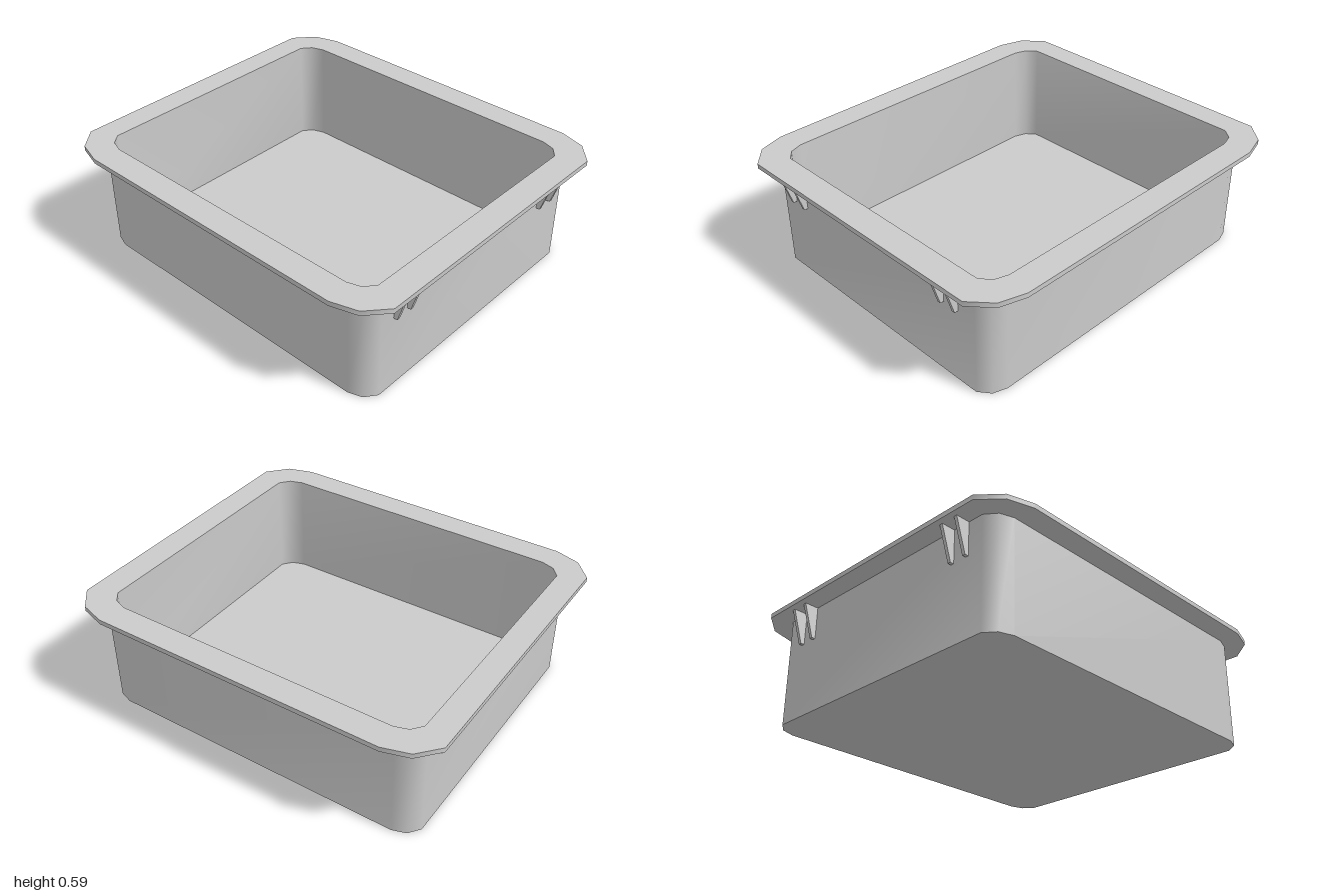
import * as THREE from 'three';
import { toCreasedNormals } from 'three/addons/utils/BufferGeometryUtils.js';

// Rectangle outline with two-facet corners, counterclockwise seen from above.
// Corner points are given for one quadrant as [x, z] and mirrored to the rest.
function outline(corner, y, dz = 0) {
  const reversed = [...corner].reverse();
  const points = [];
  const add = (list, sx, sz) => list.forEach(([x, z]) =>
    points.push(new THREE.Vector3(sx * x, y, sz * z + dz)));
  add(corner, 1, -1);
  add(reversed, -1, -1);
  add(corner, -1, 1);
  add(reversed, 1, 1);
  return points;
}

// Skin a stack of outlines and close both ends
function loft(rings) {
  const pos = [];
  const tri = (...vs) => vs.forEach(v => pos.push(v.x, v.y, v.z));
  const n = rings[0].length;
  for (let i = 0; i < rings.length - 1; i++) {
    const a = rings[i], b = rings[i + 1];
    for (let j = 0; j < n; j++) {
      const k = (j + 1) % n;
      tri(a[j], a[k], b[k]);
      tri(a[j], b[k], b[j]);
    }
  }
  const first = rings[0], last = rings[rings.length - 1];
  for (let j = 1; j < n - 1; j++) {
    tri(first[0], first[j + 1], first[j]);
    tri(last[0], last[j], last[j + 1]);
  }
  const geometry = new THREE.BufferGeometry();
  geometry.setAttribute('position', new THREE.Float32BufferAttribute(pos, 3));
  return toCreasedNormals(geometry, 0.9);
}

export function createModel() {
  const group = new THREE.Group();
  const material = new THREE.MeshStandardMaterial({ color: 0xcccccc });

  const floorY = 0.03, rimBottom = 0.565, rimTop = 0.59;
  const wall = [[0.765, 0.785], [0.742, 0.855], [0.685, 0.898]];
  const rim = [[0.875, 0.775], [0.835, 0.908], [0.73, 1.0]];
  const cavity = [[0.737, 0.752], [0.715, 0.82], [0.663, 0.862]];

  // Tray: outer wall, overhanging rim, inner wall and floor in one skin
  const tray = new THREE.Mesh(loft([
    outline(wall, 0),
    outline(wall, rimBottom),
    outline(rim, rimBottom),
    outline(rim, rimTop),
    outline(cavity, rimTop, -0.005),
    outline(cavity, floorY, -0.005),
  ]), material);
  tray.name = 'tray';
  group.add(tray);

  // Tapered support ribs under the rim at the front and back
  const ribWidth = 0.017;
  const profile = new THREE.Shape([
    new THREE.Vector2(0.885, 0.395),
    new THREE.Vector2(0.917, 0.395),
    new THREE.Vector2(0.97, rimBottom),
    new THREE.Vector2(0.885, rimBottom),
  ]);
  const ribGeometry = new THREE.ExtrudeGeometry(profile, { depth: ribWidth, bevelEnabled: false })
    .rotateY(-Math.PI / 2)
    .translate(ribWidth / 2, 0, 0);
  for (const [side, turn] of [['front', 0], ['back', Math.PI]]) {
    for (const x of [-0.595, -0.505, 0.485, 0.575]) {
      const rib = new THREE.Mesh(ribGeometry, material);
      rib.name = side + 'Rib';
      rib.position.x = x;
      rib.rotation.y = turn;
      group.add(rib);
    }
  }
  return group;
}
